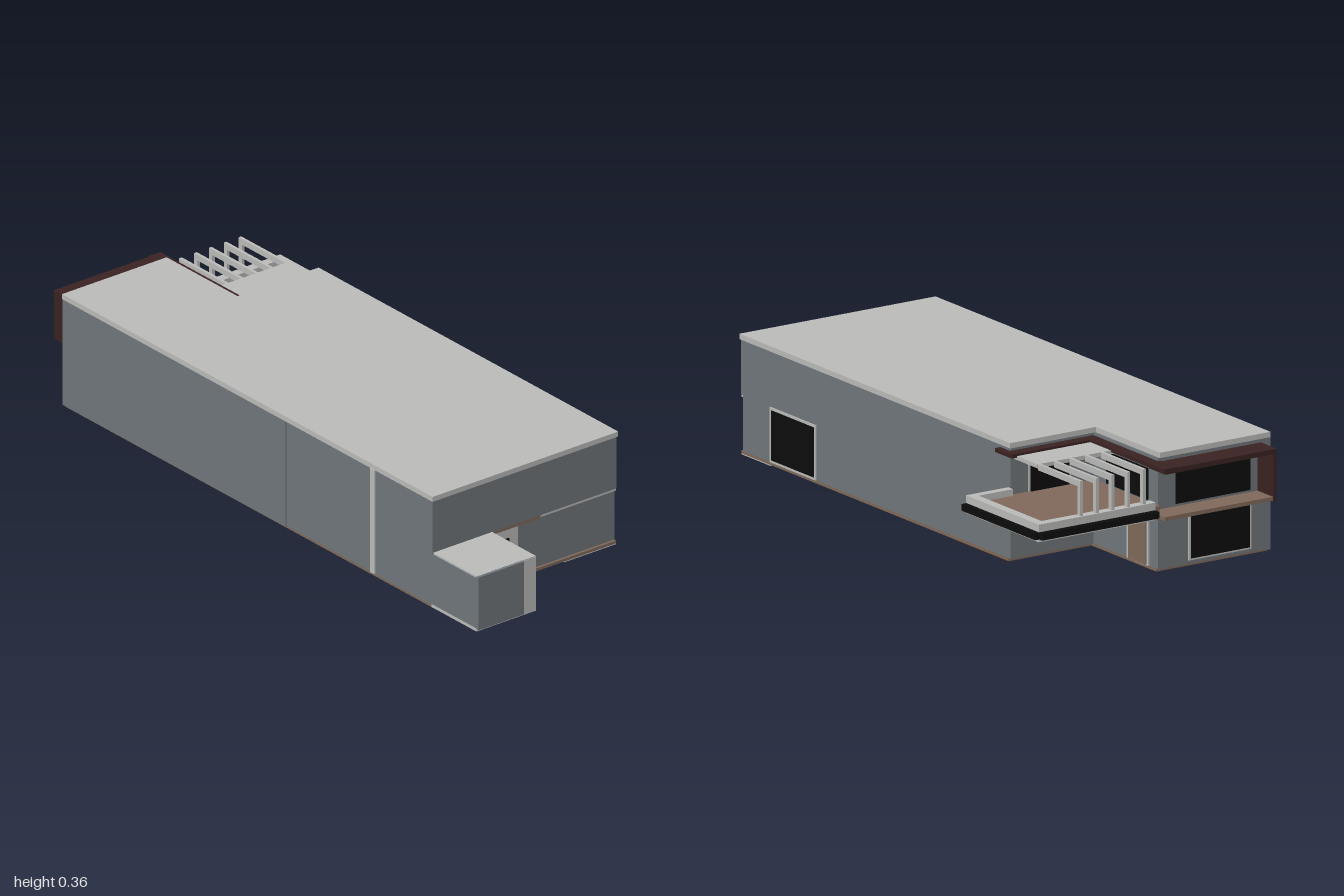
import * as THREE from 'three';

const mat = (name, color) => {
  const m = new THREE.MeshStandardMaterial({ color });
  m.name = name;
  return m;
};

export function createModel() {
  const house = new THREE.Group();
  house.name = 'house';
  const wall = mat('wallGrey', 0x70777b);
  const light = mat('lightConcrete', 0xbcbcbb);
  const brown = mat('woodBrown', 0x806a5b);
  const red = mat('darkRed', 0x3b2222);
  const black = mat('glassBlack', 0x0c0c0c);

  // Box given by its limits along each axis
  const box = (name, m, x0, x1, y0, y1, z0, z1) => {
    const mesh = new THREE.Mesh(new THREE.BoxGeometry(x1 - x0, y1 - y0, z1 - z0), m);
    mesh.position.set((x0 + x1) / 2, (y0 + y1) / 2, (z0 + z1) / 2);
    mesh.name = name;
    house.add(mesh);
  };

  // L-shaped storey, notched at the back where the terrace sits
  const storey = (name, m, x0, x1, y0, y1, z0, z1, nx, nz) => {
    const s = new THREE.Shape();
    [[x0, -z1], [x1, -z1], [x1, -z0], [nx, -z0], [nx, -nz], [x0, -nz]]
      .forEach(([x, y], i) => (i ? s.lineTo(x, y) : s.moveTo(x, y)));
    const g = new THREE.ExtrudeGeometry(s, { depth: y1 - y0, bevelEnabled: false });
    g.rotateX(-Math.PI / 2).translate(0, y0, 0);
    const mesh = new THREE.Mesh(g, m);
    mesh.name = name;
    house.add(mesh);
  };

  // Main volume
  storey('groundFloorSlab', brown, -0.91, 0.783, 0.003, 0.012, -0.26, 0.418, -0.58, 0.03);
  storey('lowerWalls', wall, -0.92, 0.775, 0.012, 0.18, -0.26, 0.42, -0.59, 0.03);
  storey('upperWalls', wall, -0.92, 0.785, 0.18, 0.346, -0.26, 0.42, -0.59, 0.03);
  storey('roof', light, -0.922, 0.787, 0.346, 0.362, -0.265, 0.422, -0.595, 0.035);
  box('frontWallEnd', wall, 0.7, 0.785, 0.012, 0.18, 0.2, 0.42);
  box('frontLightStrip', light, 0.5, 0.52, 0.012, 0.345, 0.41, 0.423);
  box('frontWallPanel', wall, -0.92, 0.11, 0.008, 0.346, 0.415, 0.4225);
  box('rearStepSlab', light, 0.635, 0.783, 0, 0.004, -0.26, -0.07);
  box('entryFloorPatch', red, -0.57, -0.3, 0, 0.004, -0.26, 0.01);

  // Side annex with pale end strip and base
  box('annexBody', wall, 0.78, 0.984, 0.015, 0.176, 0.202, 0.42);
  box('annexBase', light, 0.78, 0.987, 0.005, 0.015, 0.2, 0.42);
  box('annexRoof', light, 0.785, 0.986, 0.176, 0.181, 0.2, 0.418);
  box('annexEndStrip', light, 0.98, 0.987, 0.015, 0.178, 0.2, 0.25);
  box('annexEndPanel', wall, 0.984, 0.995, 0.012, 0.181, 0.25, 0.42);

  // Side entrance under the overhang
  box('entranceSurround', light, 0.77, 0.779, 0.012, 0.17, 0.1, 0.2);
  box('entranceDoor', black, 0.775, 0.783, 0.02, 0.14, 0.135, 0.195);
  box('overhangSoffit', brown, 0.76, 0.784, 0.17, 0.18, 0.02, 0.2);
  box('overhangLedge', light, 0.76, 0.784, 0.173, 0.18, -0.26, 0.02);

  // Rear glazed door
  box('rearDoorFrame', light, 0.4, 0.635, 0.012, 0.178, -0.263, -0.255);
  box('rearDoorGlass', black, 0.41, 0.625, 0.02, 0.17, -0.265, -0.256);

  // Terrace: deck, parapet rim and dark outer rails
  box('terraceSoffit', brown, -0.945, -0.585, 0.17, 0.174, -0.405, 0.03);
  box('terraceDeck', brown, -0.93, -0.59, 0.174, 0.205, -0.39, 0.03);
  box('parapetRear', light, -0.95, -0.578, 0.172, 0.225, -0.408, -0.38);
  box('parapetOuter', light, -0.95, -0.922, 0.172, 0.225, -0.38, 0.0);
  box('parapetInner', light, -0.602, -0.578, 0.172, 0.225, -0.38, -0.26);
  box('railOuter', black, -0.97, -0.95, 0.182, 0.202, -0.41, 0.0);
  box('railRear', black, -0.955, -0.58, 0.182, 0.202, -0.425, -0.408);

  // Terrace canopy with pergola beams and posts
  box('canopy', light, -0.73, -0.59, 0.318, 0.33, -0.262, 0.03);
  for (let i = 0; i < 5; i++) {
    const z = -0.255 + i * 0.055;
    box('pergolaBeam', light, -0.945, -0.73, 0.312, 0.33, z - 0.005, z + 0.005);
    box('pergolaPost', light, -0.945, -0.93, 0.22, 0.312, z - 0.005, z + 0.005);
  }

  // Dark red fascia and projecting window frame
  box('fasciaSide', red, -0.625, -0.588, 0.325, 0.337, -0.28, 0.04);
  box('fasciaReturn', red, -0.625, -0.54, 0.325, 0.337, -0.28, -0.262);
  box('fasciaRear', red, -1, -0.59, 0.325, 0.337, -0.005, 0.04);
  box('frameTop', red, -1, -0.915, 0.32, 0.335, 0, 0.39);
  box('frameFront', red, -1, -0.915, 0.18, 0.32, 0.378, 0.39);
  box('frameSill', brown, -0.998, -0.915, 0.18, 0.192, 0, 0.378);

  // Windows and doors on the terrace end
  box('upperEndWindow', black, -0.925, -0.917, 0.2, 0.31, 0.09, 0.35);
  box('lowerEndWindowFrame', light, -0.923, -0.916, 0.022, 0.163, 0.135, 0.355);
  box('lowerEndWindow', black, -0.926, -0.917, 0.028, 0.157, 0.142, 0.348);
  box('terraceDoorFrame', light, -0.593, -0.587, 0.205, 0.313, -0.2, -0.05);
  box('terraceDoor', black, -0.596, -0.588, 0.205, 0.307, -0.192, -0.058);
  box('terraceWindow', black, -0.87, -0.66, 0.21, 0.305, 0.025, 0.033);
  box('lowerDoorFrame', light, -0.875, -0.765, 0.012, 0.155, 0.026, 0.034);
  box('lowerDoor', brown, -0.865, -0.775, 0.014, 0.147, 0.023, 0.032);

  return house;
}
